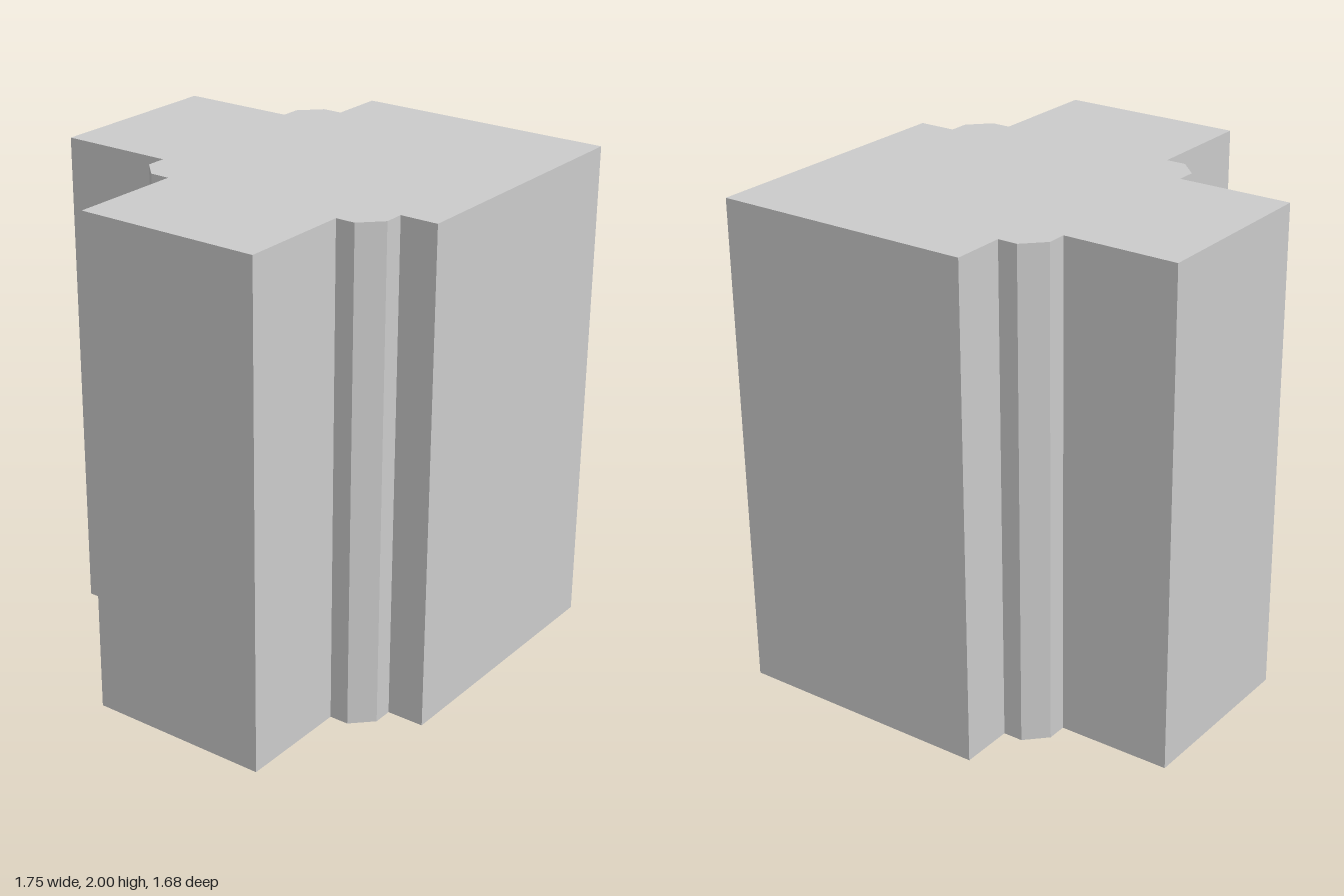
import * as THREE from 'three';

export function createModel() {
  const group = new THREE.Group();
  const material = new THREE.MeshStandardMaterial({ color: 0xcccccc, flatShading: true });

  // Plan outline as (x, z): three wings with chamfered inner corners
  const outline = [
    [-0.875, 0.53], [-0.412, 0.53], [-0.412, 0.608], [-0.332, 0.688], [-0.252, 0.688], [-0.252, 0.84],
    [0.875, 0.84], [0.875, -0.217],
    [0.655, -0.217], [0.655, -0.297], [0.575, -0.377], [0.495, -0.377], [0.495, -0.84],
    [-0.252, -0.84], [-0.252, -0.377], [-0.332, -0.377], [-0.412, -0.297], [-0.412, -0.217], [-0.875, -0.217],
  ];
  const plan = new THREE.Shape(outline.map(([x, z]) => new THREE.Vector2(x, -z)));

  // Raise the plan to full height
  const geometry = new THREE.ExtrudeGeometry(plan, { depth: 2, bevelEnabled: false });
  geometry.rotateX(-Math.PI / 2);
  const tower = new THREE.Mesh(geometry, material);
  tower.name = 'towerBlock';
  group.add(tower);
  return group;
}
